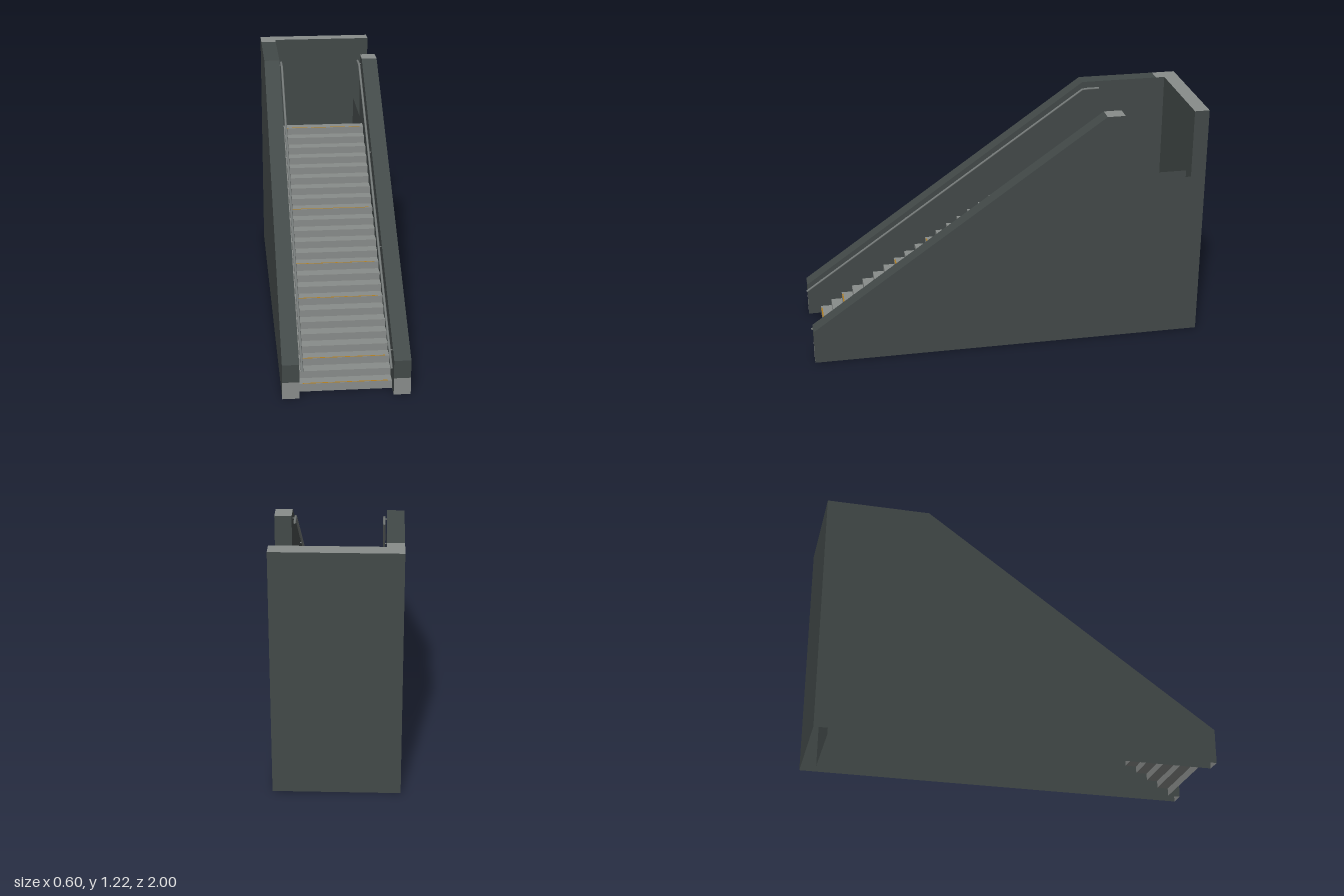
import * as THREE from 'three';
import { mergeGeometries } from 'three/addons/utils/BufferGeometryUtils.js';

const paint = (name, color) => {
  const m = new THREE.MeshStandardMaterial({ color, side: THREE.DoubleSide });
  m.name = name;
  return m;
};

// Flat strip across x from x0 to x1, following a [z, y] polyline
function strip(x0, x1, path) {
  const pos = [];
  for (let i = 0; i + 1 < path.length; i++) {
    const [za, ya] = path[i], [zb, yb] = path[i + 1];
    pos.push(x0, ya, za, x1, ya, za, x1, yb, zb, x0, ya, za, x1, yb, zb, x0, yb, zb);
  }
  const g = new THREE.BufferGeometry();
  g.setAttribute('position', new THREE.Float32BufferAttribute(pos, 3));
  g.computeVertexNormals();
  return g;
}

// Flat side skin at a given x from a [z, y] outline; facing is +1 or -1 along x
function skin(x, facing, outline) {
  const g = new THREE.ShapeGeometry(new THREE.Shape(outline.map(([z, y]) => new THREE.Vector2(-z * facing, y))));
  g.rotateY(facing * Math.PI / 2);
  g.translate(x, 0, 0);
  return g;
}

export function createModel() {
  const model = new THREE.Group();
  model.name = 'stairwell';
  const dark = paint('dark cladding', 0x424948);
  const light = paint('pale concrete', 0x888c8a);
  const metal = paint('rail metal', 0x747978);
  const amber = paint('amber nosing', 0xb07c1e);
  const add = (name, geometry, material) => {
    const m = new THREE.Mesh(geometry, material);
    m.name = name;
    model.add(m);
  };

  const IN = 0.22, OUT = 0.3, TOP = 1.217, FRONT = 0.99, BACK = -1, BACK_IN = -0.925;
  const BEND = -0.485, SILL = 0.87, DOOR = -0.575, LOW = 0.175, CAP = 0.085;
  const slope = [[FRONT, 0], [FRONT, LOW], [BEND, TOP]];

  // Right wall skins: uninterrupted up to the back wall
  add('fullWallOuter', skin(-OUT, -1, [...slope, [BACK, TOP], [BACK, 0]]), dark);
  add('fullWallInner', skin(-IN, 1, [...slope, [BACK_IN, TOP], [BACK_IN, 0]]), dark);

  // Left wall skins: with a doorway notch at the landing
  const notch = [[DOOR, TOP], [DOOR, SILL], [BACK_IN, SILL]];
  add('doorWallOuter', skin(OUT, 1, [...slope, ...notch, [BACK_IN, TOP], [BACK, TOP], [BACK, 0]]), dark);
  add('doorWallInner', skin(IN, -1, [...slope, ...notch, [BACK_IN, 0]]), dark);
  add('doorJamb', strip(IN, OUT, [[DOOR, TOP], [DOOR, SILL]]), dark);
  add('doorWallTop', strip(IN, OUT, [[BEND, TOP], [DOOR, TOP]]), light);

  // Front ends and sloped copings of both walls
  for (const [side, a, b] of [['right', -OUT, -IN], ['left', IN, OUT]]) {
    add(side + 'WallFoot', strip(a, b, [[FRONT, 0], [FRONT, CAP]]), light);
    add(side + 'WallCoping', strip(a, b, [[FRONT, CAP], [FRONT, LOW], [BEND, TOP]]), dark);
  }
  add('fullWallTop', strip(-OUT, -IN, [[BEND, TOP], [-0.88, TOP]]), dark);
  add('cornerTop', strip(-OUT, -IN, [[-0.88, TOP], [BACK_IN, TOP]]), light);

  // Back wall
  add('backWallOuter', strip(OUT, -OUT, [[BACK, 0], [BACK, TOP]]), dark);
  add('backWallInner', strip(-IN, IN, [[BACK_IN, 0], [BACK_IN, TOP]]), dark);
  add('backWallDoorEnd', strip(IN, OUT, [[BACK_IN, SILL], [BACK_IN, TOP]]), dark);
  add('backWallTop', strip(-OUT, OUT, [[BACK_IN, TOP], [BACK, TOP]]), light);

  // Stairs: a folded sheet of risers and treads
  const STEPS = 24, RUN = 0.0571, RISE = 0.036, START = 0.925;
  const path = [[START, 0]];
  const nosings = [];
  for (let i = 0; i < STEPS; i++) {
    const y = 0.04 + RISE * i, z = START - RUN * i;
    path.push([z, y], [z - RUN, y]);
    if ([0, 2, 7, 10, 15, 23].includes(i)) {
      nosings.push(strip(-0.2, 0.2, [[z, y + 0.001], [z - 0.007, y + 0.001]]));
    }
  }
  add('stairs', strip(-IN, IN, path), light);
  add('stepNosings', mergeGeometries(nosings), amber);

  // Handrails with wall brackets
  for (const s of [-1, 1]) {
    const x = s * 0.207, r = 0.006;
    const pts = [[0.995, 0.142], [BEND, 1.183], [-0.57, 1.183]].map(([z, y]) => new THREE.Vector3(x, y, z));
    const rail = new THREE.CurvePath();
    rail.add(new THREE.LineCurve3(pts[0], pts[1]));
    rail.add(new THREE.LineCurve3(pts[1], pts[2]));
    const parts = [new THREE.TubeGeometry(rail, 64, r, 8)];
    for (const t of [0.05, 0.35, 0.65, 0.97]) {
      const p = rail.getPoint(t);
      const bracket = new THREE.CylinderGeometry(0.003, 0.003, 0.014, 6);
      bracket.rotateZ(Math.PI / 2);
      bracket.translate(s * 0.214, p.y, p.z);
      parts.push(bracket);
    }
    add(s > 0 ? 'leftHandrail' : 'rightHandrail', mergeGeometries(parts), metal);
  }
  return model;
}
